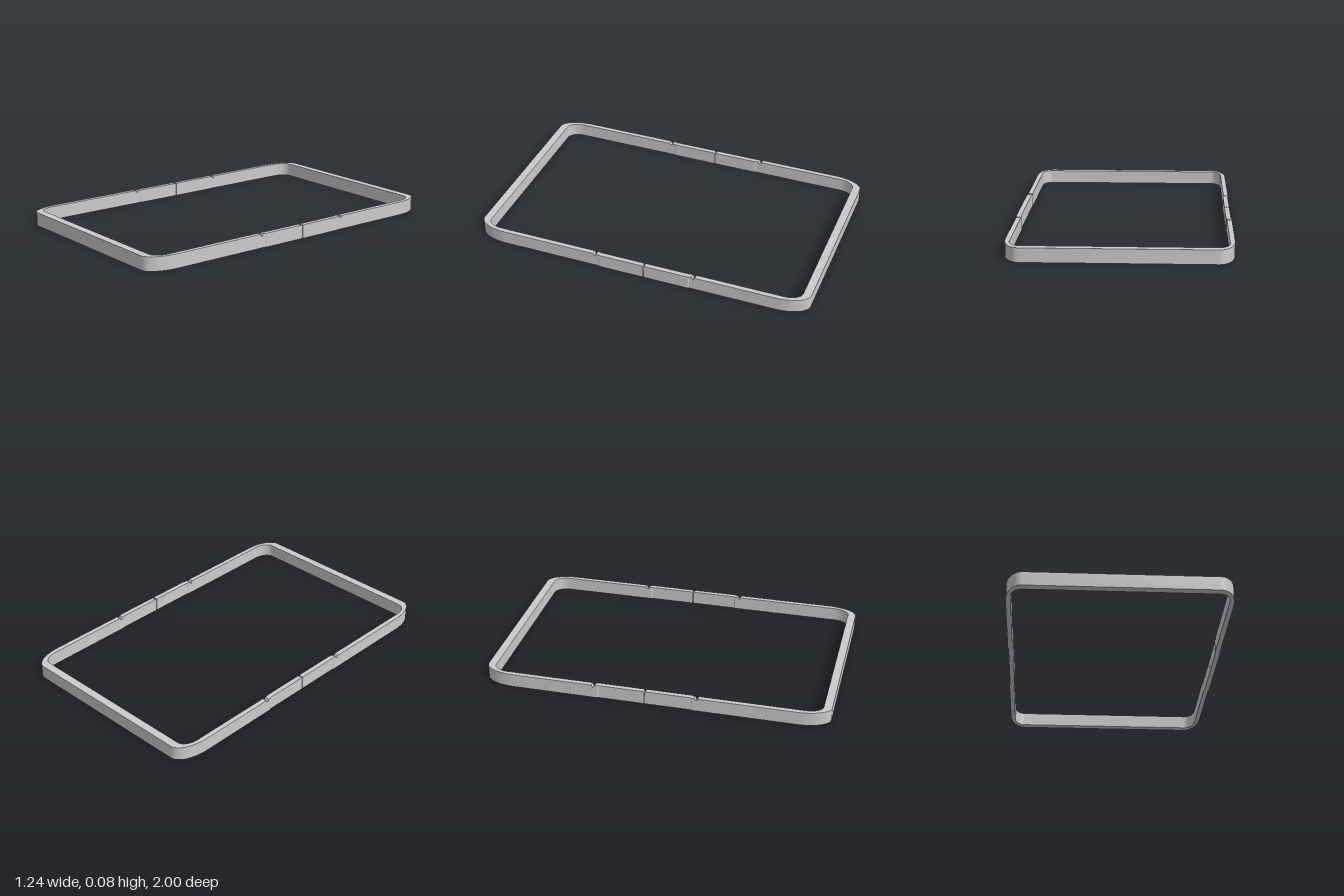
import * as THREE from 'three';
import { toCreasedNormals } from 'three/addons/utils/BufferGeometryUtils.js';

const HEIGHT = 0.08, SEAM_Z = -0.045, CENTRE_X = -0.003;
const OUTER = { x: 0.619, z: 1, rx: 0.09, rz: 0.18 };
const INNER = { x: 0.591, z: 0.953, rx: 0.06, rz: 0.09 };

// Side rail away from the seam: [distance, top height, sideways shift]
const RAIL = [
  [0.002, 0.071, 0.004], [0.004, 0.077, 0.004], [0.009, HEIGHT, 0.004],
  [0.268, HEIGHT, 0.004], [0.274, HEIGHT, 0],
  [0.288, HEIGHT, 0], [0.296, 0.066, 0], [0.3, 0.066, 0], [0.308, HEIGHT, 0],
];

// Four corners of the bar: outer bottom, outer top, inner top, inner bottom
const section = (outer, inner, top) => [
  [outer[0], 0, outer[1]], [outer[0], top, outer[1]],
  [inner[0], top, inner[1]], [inner[0], 0, inner[1]],
];

const cornerPoint = (e, a, side, dir) => [
  CENTRE_X + side * (e.x - e.rx + e.rx * Math.cos(a)),
  dir * (e.z - e.rz + e.rz * Math.sin(a)),
];

// Cross-sections from the seam round one corner to the end rail
function sideSections(side, dir) {
  const list = RAIL.map(([d, top, shift]) => {
    const z = SEAM_Z + dir * d, x = CENTRE_X + shift;
    return section([x + side * OUTER.x, z], [x + side * INNER.x, z], top);
  });
  const steps = 12;
  for (let i = 0; i <= steps; i++) {
    const a = (i / steps) * Math.PI / 2;
    list.push(section(cornerPoint(OUTER, a, side, dir), cornerPoint(INNER, a, side, dir), HEIGHT));
  }
  return list;
}

// Closed U-shaped bar joined through its cross-sections
function halfFrame(dir) {
  const rings = [...sideSections(1, dir), ...sideSections(-1, dir).reverse()];
  const pos = [];
  const quad = (a, b, c, d) => {
    const order = dir > 0 ? [a, b, c, a, c, d] : [a, c, b, a, d, c];
    order.forEach((p) => pos.push(...p));
  };
  for (let i = 0; i < rings.length - 1; i++) {
    const a = rings[i], b = rings[i + 1];
    for (let k = 0; k < 4; k++) {
      const n = (k + 1) % 4;
      quad(a[k], a[n], b[n], b[k]);
    }
  }
  const first = rings[0], last = rings[rings.length - 1];
  quad(first[3], first[2], first[1], first[0]);
  quad(last[0], last[1], last[2], last[3]);

  const geometry = new THREE.BufferGeometry();
  geometry.setAttribute('position', new THREE.Float32BufferAttribute(pos, 3));
  return toCreasedNormals(geometry, Math.PI / 6);
}

export function createModel() {
  const group = new THREE.Group();
  group.name = 'rectangularFrame';
  const material = new THREE.MeshStandardMaterial({ color: 0xcccccc });
  // Two halves meet at the seam in the side rails
  for (const [name, dir] of [['frontHalf', 1], ['backHalf', -1]]) {
    const mesh = new THREE.Mesh(halfFrame(dir), material);
    mesh.name = name;
    group.add(mesh);
  }
  return group;
}
